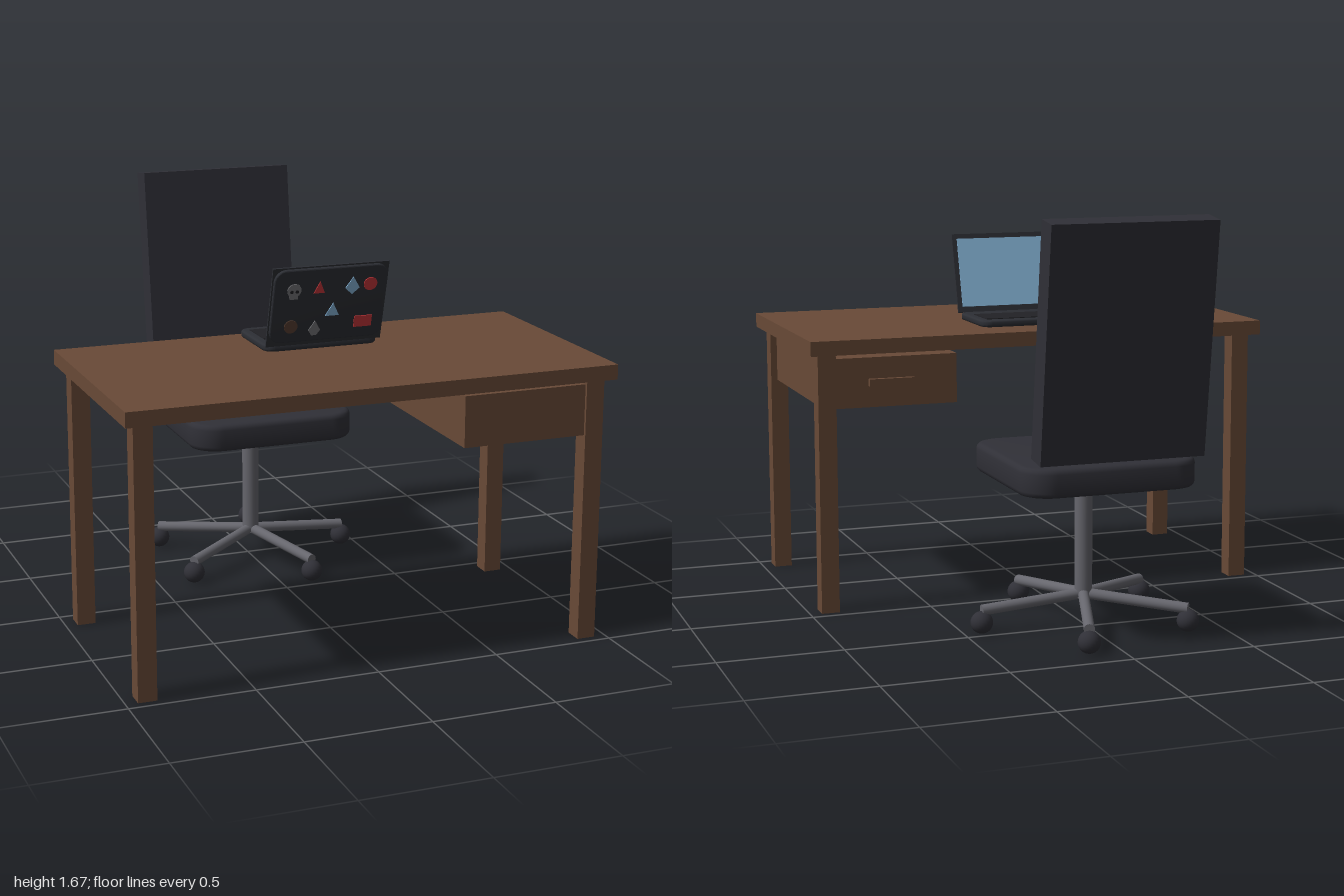
import * as THREE from 'three';
import { toCreasedNormals } from 'three/addons/utils/BufferGeometryUtils.js';

const paint = (name, color) => {
  const m = new THREE.MeshStandardMaterial({ color });
  m.name = name;
  return m;
};

export function createModel() {
  const wood = paint('wood', 0x694a37);
  const fabric = paint('dark upholstery', 0x303037);
  const metal = paint('grey metal', 0x66666d);
  const shell = paint('laptop shell', 0x2c2e34);
  const keys = paint('keyboard black', 0x222226);
  const blue = paint('screen blue', 0x88b8dc);
  const red = paint('sticker red', 0xc8383c);
  const brown = paint('sticker brown', 0x5a4032);
  const grey = paint('sticker grey', 0x77777a);

  const model = new THREE.Group();
  model.name = 'deskAndChair';

  const group = (name, parent = model) => {
    const g = new THREE.Group();
    g.name = name;
    parent.add(g);
    return g;
  };
  const add = (parent, name, geometry, material, x = 0, y = 0, z = 0) => {
    const mesh = new THREE.Mesh(geometry, material);
    mesh.name = name;
    mesh.position.set(x, y, z);
    parent.add(mesh);
    return mesh;
  };
  const box = (w, h, d) => new THREE.BoxGeometry(w, h, d);

  // Plate with rounded corners in XY and softened rims, thickness along z from 0 to t
  const roundedPlate = (w, h, r, t, bevel) => {
    const s = new THREE.Shape();
    const x = w / 2, y = h / 2;
    s.moveTo(-x + r, -y);
    s.lineTo(x - r, -y);
    s.absarc(x - r, -y + r, r, -Math.PI / 2, 0);
    s.absarc(x - r, y - r, r, 0, Math.PI / 2);
    s.absarc(-x + r, y - r, r, Math.PI / 2, Math.PI);
    s.absarc(-x + r, -y + r, r, Math.PI, Math.PI * 1.5);
    const g = new THREE.ExtrudeGeometry(s, {
      depth: t - 2 * bevel, bevelThickness: bevel, bevelSize: bevel,
      bevelOffset: -bevel, bevelSegments: 3, curveSegments: 8,
    });
    return toCreasedNormals(g.translate(0, 0, bevel), 0.7);
  };

  // Cylinder between two points
  const rod = (parent, name, a, b, radius, material) => {
    const dir = b.clone().sub(a);
    const mesh = add(parent, name, new THREE.CylinderGeometry(radius, radius, dir.length(), 20), material);
    mesh.position.copy(a).lerp(b, 0.5);
    mesh.quaternion.setFromUnitVectors(new THREE.Vector3(0, 1, 0), dir.normalize());
  };

  // Desk
  const desk = group('desk');
  add(desk, 'deskTop', box(1.98, 0.06, 1), wood, 0, 1.1, 0.5);
  for (const x of [-0.915, 0.915])
    for (const z of [0.077, 0.927])
      add(desk, 'deskLeg', box(0.075, 1.07, 0.075), wood, x, 0.535, z);
  add(desk, 'drawer', box(0.56, 0.205, 0.905), wood, 0.645, 0.947, 0.5);
  add(desk, 'drawerHandle', box(0.19, 0.03, 0.022), wood, 0.645, 0.947, 0.037);

  // Office chair
  const chair = group('chair');
  chair.position.z = -0.46;
  const seat = roundedPlate(0.725, 0.725, 0.12, 0.115, 0.022).rotateX(-Math.PI / 2);
  add(chair, 'seat', seat, fabric, 0, 0.6, 0);
  const back = add(chair, 'backrest', box(0.67, 0.922, 0.105), fabric, 0, 1.205, -0.425);
  back.rotation.x = -0.128;
  add(chair, 'chairPost', new THREE.CylinderGeometry(0.036, 0.036, 0.49, 24), metal, 0, 0.357, 0);

  // Five-star base with ball castors
  for (let i = 0; i < 5; i++) {
    const a = (i * Math.PI * 2) / 5;
    const c = Math.cos(a), s = Math.sin(a);
    rod(chair, 'baseSpoke', new THREE.Vector3(0, 0.127, 0),
      new THREE.Vector3(c * 0.43, 0.094, s * 0.43), 0.022, metal);
    add(chair, 'castor', new THREE.SphereGeometry(0.045, 20, 14), fabric, c * 0.43, 0.045, s * 0.43);
  }

  // Laptop base and keyboard
  const laptop = group('laptop');
  const base = roundedPlate(0.48, 0.325, 0.045, 0.028, 0.008).rotateX(-Math.PI / 2);
  add(laptop, 'laptopBase', base, shell, 0, 1.144, 0.237);
  add(laptop, 'keyboard', box(0.415, 0.004, 0.17), keys, 0, 1.173, 0.208);

  // Laptop lid, hinged at the far edge of the base
  const lid = group('laptopLid', laptop);
  lid.position.set(0, 1.168, 0.405);
  lid.rotation.x = 0.265;
  add(lid, 'lidShell', roundedPlate(0.475, 0.315, 0.05, 0.016, 0.005), shell, 0, 0.178, 0);
  add(lid, 'screenBezel', box(0.485, 0.34, 0.008), shell, 0, 0.17, -0.003);
  add(lid, 'screen', box(0.445, 0.295, 0.003), blue, 0, 0.172, -0.008);

  // Stickers on the outside of the lid
  const stickers = group('stickers', lid);
  stickers.position.z = 0.0155;
  const flat = (points) => new THREE.ExtrudeGeometry(
    new THREE.Shape(points.map(([x, y]) => new THREE.Vector2(x, y))), { depth: 0.004, bevelEnabled: false });
  const disc = (r) => new THREE.CylinderGeometry(r, r, 0.004, 24).rotateX(Math.PI / 2).translate(0, 0, 0.002);
  const triangle = (w, h) => flat([[-w / 2, -h / 2], [w / 2, -h / 2], [0, h / 2]]);
  const stick = (name, geometry, material, x, y, z = 0) =>
    add(stickers, name, geometry, material, x, (y - 1.168) / 0.965, z);

  stick('maskSticker', disc(0.029), grey, -0.153, 1.408);
  stick('maskJaw', box(0.034, 0.025, 0.004), grey, -0.153, 1.384, 0.002);
  for (const x of [-0.164, -0.142]) stick('maskEye', disc(0.007), keys, x, 1.404, 0.002);
  stick('redTriangleSticker', triangle(0.046, 0.05), red, -0.048, 1.415);
  stick('blueDiamondSticker', flat([[0, -0.035], [0.03, -0.008], [0, 0.04], [-0.03, -0.008]]), blue, 0.09, 1.41);
  stick('redDiscSticker', disc(0.028), red, 0.165, 1.414);
  stick('brownDiscSticker', disc(0.028), brown, -0.153, 1.256);
  stick('greySticker', flat([[-0.025, -0.01], [-0.01, -0.032], [0.01, -0.032], [0.025, -0.01], [0, 0.032]]), grey, -0.053, 1.244);
  stick('blueTriangleSticker', triangle(0.058, 0.055), blue, 0.016, 1.318);
  stick('redLabelSticker', box(0.075, 0.048, 0.004), red, 0.15, 1.257, 0.002);

  return model;
}
